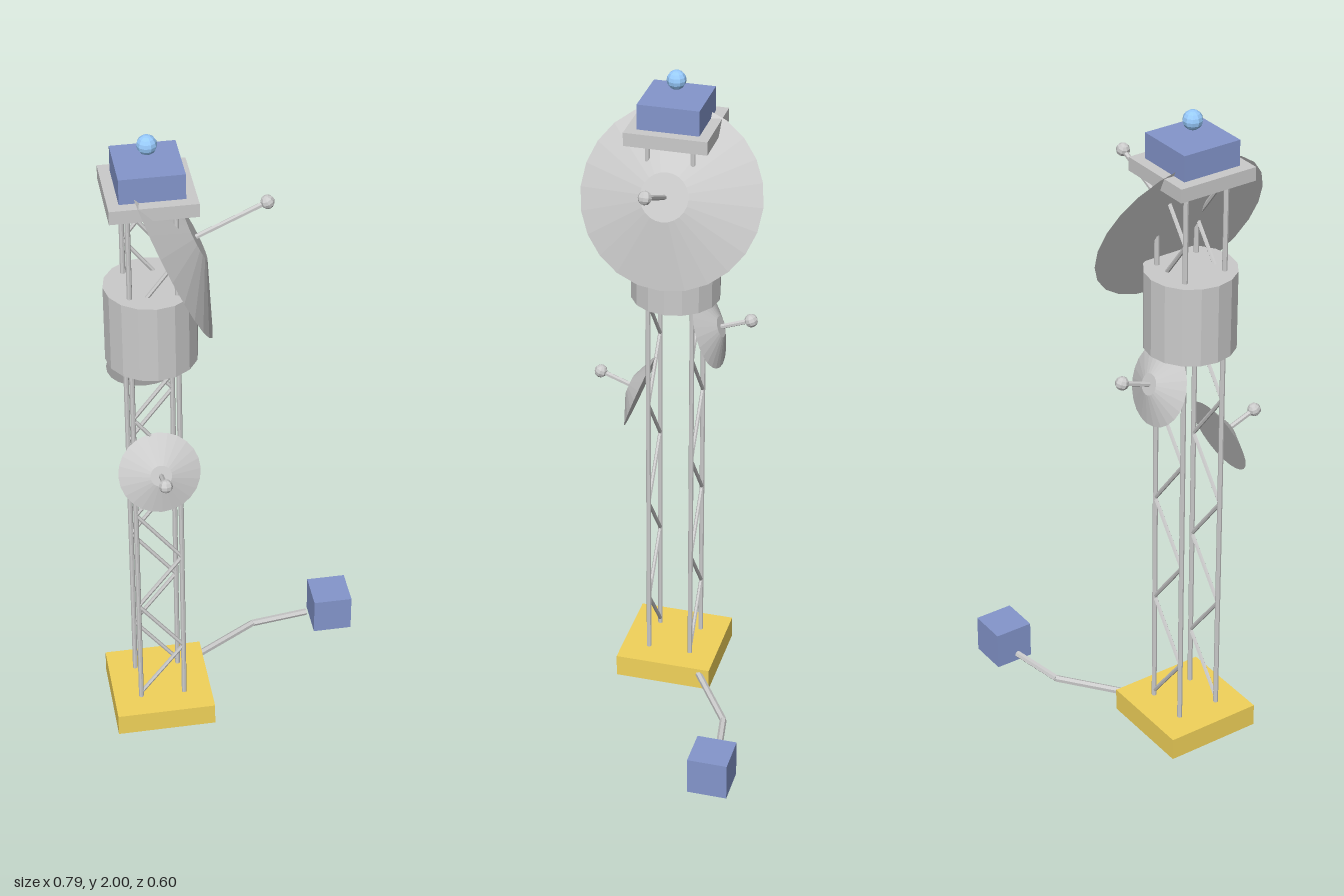
import * as THREE from 'three';

const mat = (color) => new THREE.MeshStandardMaterial({ color, flatShading: true });
const GREY = mat(0xcccccc);
const YELLOW = mat(0xf2d35a);
const BLUE = mat(0x8496cc);
const LIGHT = mat(0x99ccff);

// Mast centre line and half spacing of its legs
const CX = -0.25, CZ = 0.029, HALF = 0.066;

function add(parent, name, geometry, material, x = 0, y = 0, z = 0) {
  const mesh = new THREE.Mesh(geometry, material);
  mesh.name = name;
  mesh.position.set(x, y, z);
  parent.add(mesh);
  return mesh;
}

// Straight rod between two points
function rod(parent, name, a, b, radius, sides = 6) {
  const from = new THREE.Vector3(...a), to = new THREE.Vector3(...b);
  const dir = to.clone().sub(from);
  const mesh = add(parent, name, new THREE.CylinderGeometry(radius, radius, dir.length(), sides), GREY);
  mesh.position.copy(from).add(to).multiplyScalar(0.5);
  mesh.quaternion.setFromUnitVectors(new THREE.Vector3(0, 1, 0), dir.normalize());
  return mesh;
}

// Dish along local +z: shallow truncated cone, feed rod and feed tip
function dish(name, { radius, capRadius, depth, reach, yaw, tilt, position }) {
  const group = new THREE.Group();
  group.name = name;
  const shell = add(group, 'dishShell', new THREE.CylinderGeometry(capRadius, radius, depth, 24), GREY, 0, 0, depth / 2);
  shell.rotation.x = Math.PI / 2;
  rod(group, 'feedRod', [0, 0, depth * 0.5], [0, 0, reach], 0.0075);
  add(group, 'feedTip', new THREE.SphereGeometry(0.02, 8, 6), GREY, 0, 0, reach);
  group.rotation.set(-tilt, yaw, 0, 'YXZ');
  group.position.set(...position);
  return group;
}

export function createModel() {
  const model = new THREE.Group();
  model.name = 'antennaTower';

  // Base slab
  add(model, 'base', new THREE.BoxGeometry(0.296, 0.07, 0.296), YELLOW, CX, 0.045, CZ);

  // Lattice mast: four legs, zigzag bracing on the front and back faces
  const mast = new THREE.Group();
  mast.name = 'mast';
  model.add(mast);
  for (const sx of [-1, 1]) {
    for (const sz of [-1, 1]) {
      const x = CX + sx * HALF, z = CZ + sz * HALF;
      rod(mast, 'leg', [x, 0, z], [x, 1.82, z], 0.0075, 8);
    }
  }
  const panels = 10, y0 = 0.095, step = 0.172;
  for (const sz of [-1, 1]) {
    const z = CZ + sz * HALF;
    for (let i = 0; i < panels; i++) {
      const s = (i % 2 ? -1 : 1) * sz * HALF;
      rod(mast, 'brace', [CX - s, y0 + i * step, z], [CX + s, y0 + (i + 1) * step, z], 0.006);
    }
  }

  // Drum around the mast
  add(model, 'drum', new THREE.CylinderGeometry(0.131, 0.131, 0.236, 16), GREY, CX, 1.417, CZ);

  // Top platform, equipment box and beacon
  add(model, 'platform', new THREE.BoxGeometry(0.242, 0.04, 0.242), GREY, CX, 1.83, CZ);
  add(model, 'topBox', new THREE.BoxGeometry(0.18, 0.076, 0.18), BLUE, CX, 1.887, CZ);
  add(model, 'beacon', new THREE.SphereGeometry(0.028, 10, 8), LIGHT, CX, 1.972, CZ);

  // Large side dish and two small dishes, front and back
  model.add(dish('largeDish', {
    radius: 0.267, capRadius: 0.07, depth: 0.082, reach: 0.298,
    yaw: Math.PI / 2, tilt: 0.43, position: [-0.196, 1.637, CZ],
  }));
  const small = { radius: 0.118, capRadius: 0.031, depth: 0.037, reach: 0.132, tilt: 0.353 };
  model.add(dish('frontDish', { ...small, yaw: 0, position: [CX, 0.963, 0.136] }));
  model.add(dish('backDish', { ...small, yaw: Math.PI, position: [CX, 1.2, -0.073] }));

  // Cable to the separate ground unit
  const path = [[-0.13, 0.062, -0.07], [0.083, 0.048, -0.213], [0.261, 0.045, -0.241]];
  for (let i = 0; i < path.length - 1; i++) rod(model, 'cable', path[i], path[i + 1], 0.0105);
  add(model, 'groundUnit', new THREE.BoxGeometry(0.119, 0.117, 0.119), BLUE, 0.336, 0.068, -0.243);

  return model;
}
